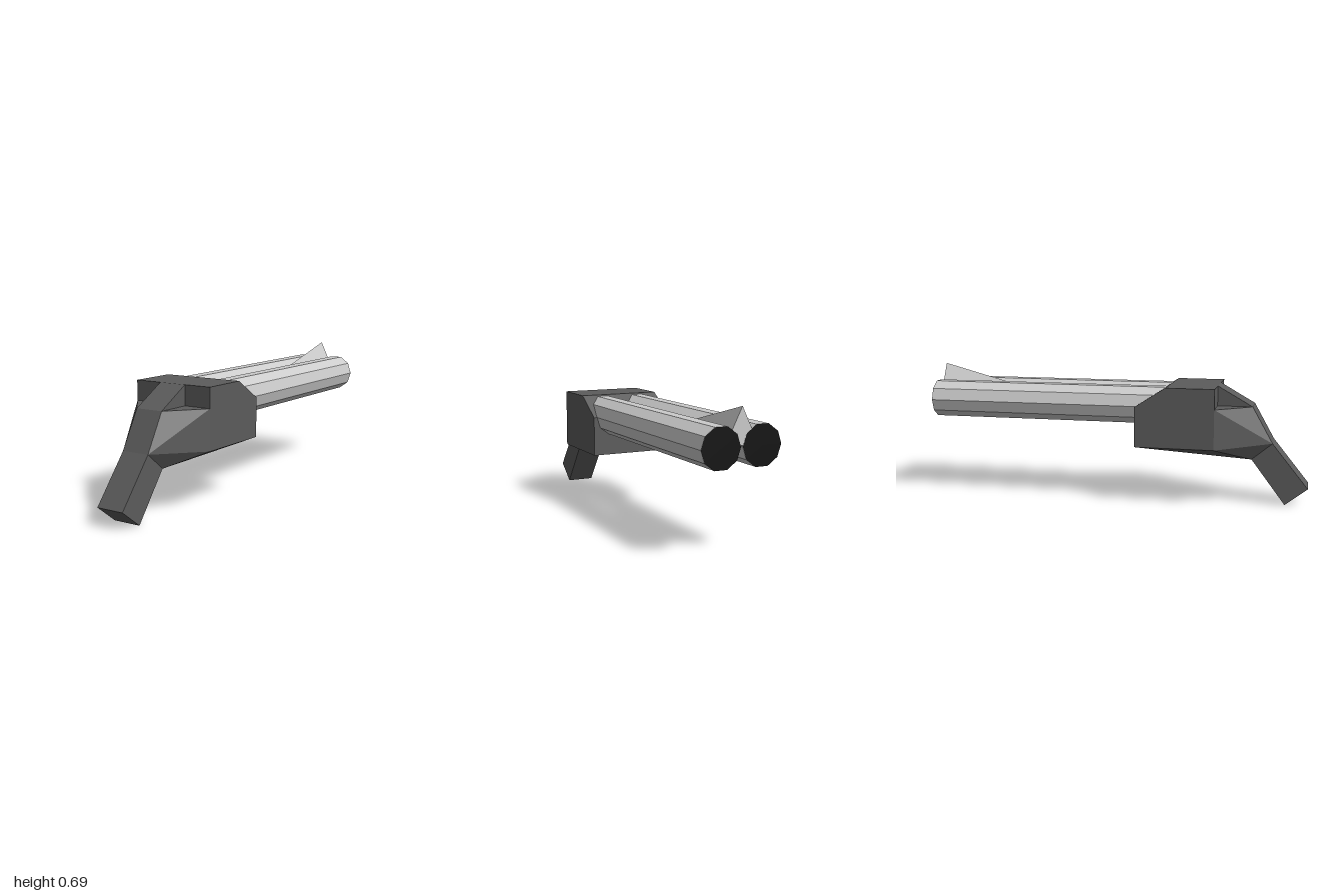
import * as THREE from 'three';
import { ConvexGeometry } from 'three/addons/geometries/ConvexGeometry.js';

const HALF_WIDE = 0.222, HALF_NARROW = 0.075;

// Mirrors a side profile of [z, y] points to both sides at +-halfWidth
const section = (halfWidth, profile) => profile.flatMap(([z, y]) =>
  [-halfWidth, halfWidth].map((x) => new THREE.Vector3(x, y, z)));

export function createModel() {
  const group = new THREE.Group();
  const mat = (color) => new THREE.MeshStandardMaterial({ color, flatShading: true });
  const dark = mat(0x5c5c5c), steel = mat(0xcccccc), black = mat(0x111111);

  const add = (name, geometry, material) => {
    const mesh = new THREE.Mesh(geometry, material);
    mesh.name = name;
    group.add(mesh);
    return mesh;
  };
  const addHull = (name, points, material = dark) => add(name, new ConvexGeometry(points), material);

  // Receiver: wide block tapering forward to the narrow grip neck
  addHull('receiver', [
    ...section(HALF_WIDE, [[0.12, 0.3], [0.53, 0.3], [0.53, 0.507], [0.12, 0.507]]),
    ...section(HALF_NARROW, [[0.71, 0.507], [0.815, 0.32], [0.71, 0.233]]),
  ]);
  addHull('receiverTop', section(HALF_WIDE, [[0.12, 0.507], [0.53, 0.507], [0.53, 0.61], [0.28, 0.61]]));
  addHull('receiverRidge', section(HALF_NARROW, [[0.53, 0.507], [0.53, 0.61], [0.71, 0.507]]));

  // Grip: slanted bar running down from the neck
  addHull('grip', section(HALF_NARROW, [[0.815, 0.32], [0.71, 0.233], [0.885, 0], [1, 0.09]]));

  // Twin ten-sided barrels with dark muzzle faces
  for (const side of [-1, 1]) {
    const tube = new THREE.CylinderGeometry(0.1, 0.1, 1.4, 10, 1, false, Math.PI / 2);
    tube.rotateX(Math.PI / 2);
    add(side > 0 ? 'leftBarrel' : 'rightBarrel', tube, steel).position.set(side * 0.105, 0.508, -0.299);

    const muzzle = new THREE.CircleGeometry(0.1, 10);
    muzzle.rotateY(Math.PI);
    add(side > 0 ? 'leftMuzzle' : 'rightMuzzle', muzzle, black).position.set(side * 0.105, 0.508, -1);
  }

  // Sight: long thin pyramid rising between the barrels towards the muzzle
  addHull('sight', [
    new THREE.Vector3(0, 0.515, -0.35),
    new THREE.Vector3(0, 0.687, -0.9985),
    new THREE.Vector3(-0.085, 0.515, -0.9985),
    new THREE.Vector3(0.085, 0.515, -0.9985),
  ], steel);

  return group;
}
